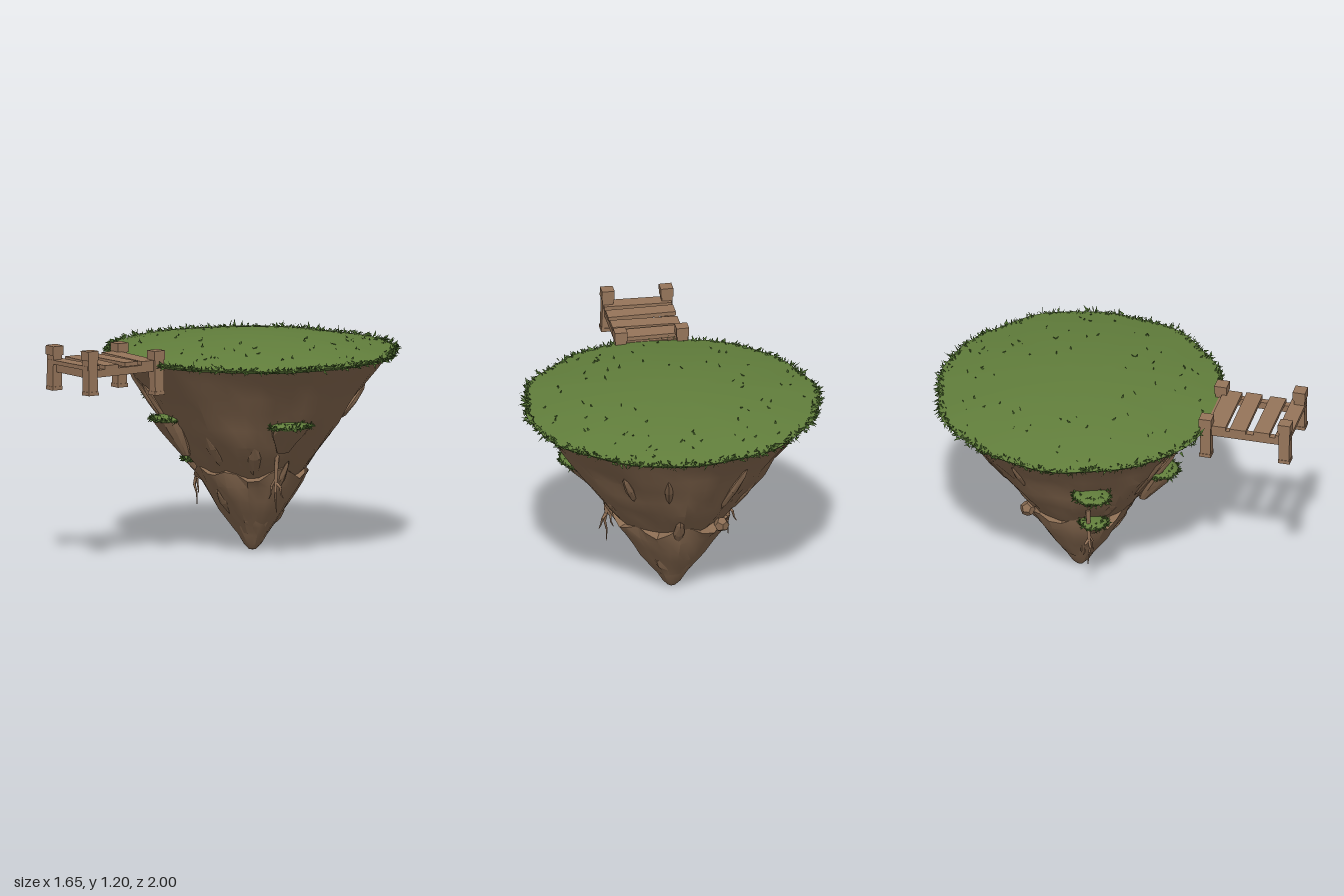
import * as THREE from 'three';
import { toCreasedNormals } from 'three/addons/utils/BufferGeometryUtils.js';

const CZ = -0.21; // centre of the island in z

function makeRandom(seed) {
  return () => {
    seed = (seed * 16807) % 2147483647;
    return seed / 2147483647;
  };
}

export function createModel() {
  const model = new THREE.Group();
  const rand = makeRandom(4321);
  const spread = (s) => (rand() - 0.5) * 2 * s;
  const V = (x, y, z) => new THREE.Vector3(x, y, z);

  const rockMat = new THREE.MeshStandardMaterial({ color: 0x8a6c52 });
  rockMat.name = 'rock brown';
  const woodMat = new THREE.MeshStandardMaterial({ color: 0x96755a });
  woodMat.name = 'wood brown';
  const grassMat = new THREE.MeshStandardMaterial({ color: 0x627f3c });
  grassMat.name = 'grass green';
  const bladeMat = new THREE.MeshStandardMaterial({ color: 0x4f7030, side: THREE.DoubleSide });
  bladeMat.name = 'blade green';

  function add(name, geo, mat, parent = model) {
    const mesh = new THREE.Mesh(geo, mat);
    mesh.name = name;
    parent.add(mesh);
    return mesh;
  }

  // Applies a rule to every vertex, then sharpens the strong edges
  function reshape(geo, rule, crease = 0.4) {
    const p = geo.attributes.position;
    const v = new THREE.Vector3();
    for (let i = 0; i < p.count; i++) {
      rule(v.fromBufferAttribute(p, i));
      p.setXYZ(i, v.x, v.y, v.z);
    }
    return toCreasedNormals(geo, crease);
  }

  // Triangle wave around the axis, giving chiselled planes
  const tri = (t) => Math.abs((t - Math.floor(t)) * 2 - 1) * 2 - 1;
  const chisel = (a, y, s) => {
    const u = a / (2 * Math.PI);
    return 0.5 * tri(5 * u + 0.6 * y + s) + 0.35 * tri(11 * u - 1.3 * y + 2.3 * s) + 0.25 * tri(3 * u + 4 * y + s);
  };

  // Rock tiers: nested cones, each with a jagged upper edge
  const rock = new THREE.Group();
  rock.name = 'rock';
  rock.position.z = CZ;
  rock.scale.z = 0.965;
  model.add(rock);
  function tier(name, profile, segments, amp, jag, seed) {
    const rim = profile[profile.length - 2][1];
    const geo = new THREE.LatheGeometry(profile.map(([r, y]) => new THREE.Vector2(r, y)), segments);
    add(name, reshape(geo, (v) => {
      const a = Math.atan2(v.x, v.z);
      const fade = Math.min(1, Math.max(0.15, (1.08 - v.y) * 4));
      const k = 1 + amp * fade * chisel(a, v.y, seed);
      v.x *= k;
      v.z *= k;
      if (v.y > rim - 0.06) v.y += jag * tri((7 * a) / (2 * Math.PI) + seed) + jag * 0.5 * tri((4 * a) / (2 * Math.PI));
    }), rockMat, rock);
  }
  tier('upper rock', [[0, 0.3], [0.17, 0.32], [0.3, 0.46], [0.355, 0.53], [0.42, 0.61], [0.49, 0.71],
    [0.555, 0.81], [0.62, 0.9], [0.69, 0.99], [0.755, 1.07], [0, 1.07]], 44, 0.06, 0, 0.13);
  tier('middle rock', [[0, 0.08], [0.09, 0.1], [0.13, 0.155], [0.18, 0.22], [0.225, 0.29],
    [0.275, 0.37], [0.31, 0.44], [0.22, 0.47]], 30, 0.07, 0.035, 0.42);
  tier('rock tip', [[0, 0], [0.022, 0.005], [0.05, 0.035], [0.08, 0.085], [0.115, 0.135],
    [0.15, 0.195], [0.168, 0.235], [0.12, 0.255]], 20, 0.07, 0.025, 0.77);

  // Long slivers of stone lying along the slope: [angle, height, half length, half width]
  [[-0.55, 0.8, 0.24, 0.03], [-0.32, 0.72, 0.26, 0.025], [-0.85, 0.6, 0.16, 0.04], [0.35, 0.6, 0.14, 0.04],
    [0.95, 0.55, 0.13, 0.04], [1.5, 0.42, 0.13, 0.02], [2.55, 0.8, 0.12, 0.025], [2.95, 0.82, 0.14, 0.025],
    [-2.6, 0.75, 0.2, 0.025], [-2.1, 0.62, 0.15, 0.035], [2.0, 0.58, 0.12, 0.035], [-1.9, 0.88, 0.13, 0.025],
    [3.1, 0.45, 0.13, 0.03], [0.1, 0.28, 0.1, 0.04]].forEach(([a, y, len, w]) => {
    const holder = new THREE.Group();
    holder.name = 'sliver holder';
    holder.rotation.y = a;
    rock.add(holder);
    const sliver = add('stone sliver', new THREE.OctahedronGeometry(1, 1).toNonIndexed(), rockMat, holder);
    sliver.geometry = toCreasedNormals(sliver.geometry, 0.3);
    sliver.scale.set(w, len, 0.022);
    sliver.position.set(0, y, y > 0.45 ? 0.29 + (y - 0.45) * 0.735 : 0.03 + y * 0.62);
    sliver.rotation.set(0.62, 0, 0);
  });
  const knob = add('stone knob', new THREE.DodecahedronGeometry(0.042), rockMat);
  knob.position.set(-0.23, 0.45, -0.44);

  // Domed lawn
  const lawnY = (t) => 1.08 + 0.08 * (1 - t * t);
  const outline = (a) => 1 + 0.008 * Math.sin(7 * a) + 0.007 * Math.sin(12 * a + 1);
  const lawnProfile = [[0, 1.06], [0.72, 1.06], [0.775, 1.065], [0.79, 1.08]];
  for (let i = 9; i >= 0; i--) lawnProfile.push([0.079 * i, lawnY(i / 10)]);
  const lawn = new THREE.LatheGeometry(lawnProfile.map(([r, y]) => new THREE.Vector2(r, y)), 72);
  add('lawn', reshape(lawn, (v) => {
    const k = outline(Math.atan2(v.x, v.z));
    v.x *= k;
    v.z = v.z * k * 0.97 + CZ;
  }, 0.7), grassMat);

  // Grass blades: one thin triangle each, collected into a single mesh
  const blades = [];
  function blade(base, dir, length, width) {
    const side = V(spread(1), spread(0.4), spread(1)).cross(dir).normalize().multiplyScalar(width);
    const tip = base.clone().addScaledVector(dir.normalize(), length);
    blades.push(...base.clone().add(side).toArray(), ...base.clone().sub(side).toArray(), ...tip.toArray());
  }
  function fringe(c, rx, rz, count, length, wobble) {
    for (let i = 0; i < count; i++) {
      const a = (i / count) * Math.PI * 2;
      const k = (wobble ? outline(a) : 1) * (0.98 + spread(0.025));
      const base = V(c.x + Math.sin(a) * rx * k, c.y + spread(length * 0.3), c.z + Math.cos(a) * rz * k);
      const dir = V(Math.sin(a) * 0.6 + spread(0.7), 0.25 + spread(0.9), Math.cos(a) * 0.6 + spread(0.7));
      blade(base, dir, length * (0.5 + rand() * 0.6), length * 0.22);
    }
  }
  fringe(V(0, 1.078, CZ), 0.79, 0.766, 1000, 0.036, true);
  for (let i = 0; i < 90; i++) {
    const a = rand() * Math.PI * 2;
    const t = 0.3 + 0.68 * Math.sqrt(rand());
    blade(V(Math.sin(a) * t * 0.78, lawnY(t) - 0.003, CZ + Math.cos(a) * t * 0.755), V(spread(0.8), 0.7, spread(0.8)), 0.025, 0.007);
  }

  // Small side ledges: stone wedge leaning into the slope, with a grass cap
  [{ top: V(-0.54, 0.79, -0.01), foot: V(-0.4, 0.64, -0.06), rx: 0.09, rz: 0.1 },
    { top: V(-0.11, 0.735, 0.27), foot: V(-0.09, 0.53, 0.16), rx: 0.095, rz: 0.085 },
    { top: V(0.5, 0.735, -0.1), foot: V(0.4, 0.58, -0.12), rx: 0.085, rz: 0.12 },
    { top: V(-0.3, 0.465, -0.06), foot: V(-0.22, 0.35, -0.09), rx: 0.07, rz: 0.075 },
  ].forEach(({ top, foot, rx, rz }, n) => {
    const ledge = new THREE.Group();
    ledge.name = 'ledge';
    model.add(ledge);
    const wedge = new THREE.CylinderGeometry(1, 0.3, 1, 11, 3);
    add('ledge stone', reshape(wedge, (v) => {
      const t = 0.5 - v.y;
      const k = 1 + 0.12 * chisel(Math.atan2(v.x, v.z), t, n * 0.3) + 0.35 * t * (1 - t);
      v.set(THREE.MathUtils.lerp(top.x, foot.x, t) + v.x * rx * 0.95 * k,
        THREE.MathUtils.lerp(top.y, foot.y, t),
        THREE.MathUtils.lerp(top.z, foot.z, t) + v.z * rz * 0.95 * k);
    }), rockMat, ledge);
    const cap = add('ledge grass', new THREE.SphereGeometry(1, 20, 10), grassMat, ledge);
    cap.scale.set(rx, 0.022, rz);
    cap.position.copy(top);
    fringe(top, rx, rz, 130, 0.03, false);
    fringe(top.clone().setY(top.y + 0.015), rx * 0.6, rz * 0.6, 40, 0.025, false);
  });

  const bladeGeo = new THREE.BufferGeometry();
  bladeGeo.setAttribute('position', new THREE.Float32BufferAttribute(blades, 3));
  bladeGeo.computeVertexNormals();
  add('grass blades', bladeGeo, bladeMat);

  // Hanging roots made of tapering limbs
  function limb(a, b, r0, r1, parent) {
    const d = b.clone().sub(a);
    const m = add('root limb', new THREE.CylinderGeometry(r1, r0, d.length(), 6), woodMat, parent);
    m.position.copy(a).addScaledVector(d, 0.5);
    m.quaternion.setFromUnitVectors(V(0, 1, 0), d.normalize());
  }
  function root(x, y, z, mirror) {
    const g = new THREE.Group();
    g.name = 'hanging root';
    g.position.set(x, y, z);
    g.scale.x = mirror;
    model.add(g);
    const strand = (pts, r) => pts.slice(1).forEach((p, i) =>
      limb(V(...pts[i]), V(...p), r * (1 - i / pts.length), r * (1 - (i + 1) / pts.length), g));
    strand([[0.02, 0.2, 0], [0.005, 0.1, 0], [0, 0, 0], [0.006, -0.05, 0.01], [-0.004, -0.1, 0], [0, -0.16, -0.005]], 0.014);
    strand([[0, 0.02, 0], [-0.025, -0.02, 0.012], [-0.028, -0.06, 0.01], [-0.042, -0.09, 0.016]], 0.009);
    strand([[0, 0, 0], [0.022, -0.025, -0.015], [0.03, -0.06, -0.012], [0.042, -0.08, -0.02]], 0.009);
  }
  root(0.338, 0.41, -0.12, 1);
  root(-0.328, 0.375, -0.08, -1);

  // Wooden jetty
  const jetty = new THREE.Group();
  jetty.name = 'jetty';
  model.add(jetty);
  function beam(name, size, pos, tilt = 0) {
    const m = add(name, new THREE.BoxGeometry(...size), woodMat, jetty);
    m.position.set(...pos);
    m.rotation.z = tilt;
  }
  function post(x, y, z, tilt) {
    beam('post', [0.058, 0.22, 0.058], [x, y, z], tilt);
    beam('post cap', [0.068, 0.05, 0.068], [x - tilt * 0.09, y + 0.095, z], tilt);
    beam('post foot', [0.064, 0.02, 0.064], [x + tilt * 0.1, y - 0.108, z], tilt);
  }
  post(-0.185, 1.04, 0.53, 0.0);
  post(0.15, 1.04, 0.53, 0.02);
  post(-0.178, 1.065, 0.962, -0.02);
  post(0.145, 1.075, 0.962, 0.03);
  for (const x of [-0.175, 0.145]) beam('side beam', [0.035, 0.04, 0.46], [x, 1.07, 0.745]);
  for (const z of [0.535, 0.955]) beam('cross beam', [0.3, 0.045, 0.03], [-0.016, 1.068, z]);
  [[0.588, 0.1], [0.705, 0.088], [0.835, 0.088], [0.952, 0.082]].forEach(([z, d], i) =>
    beam('plank', [0.365, 0.022, d], [-0.016, 1.102, z], i % 2 ? 0.012 : -0.012));

  return model;
}
